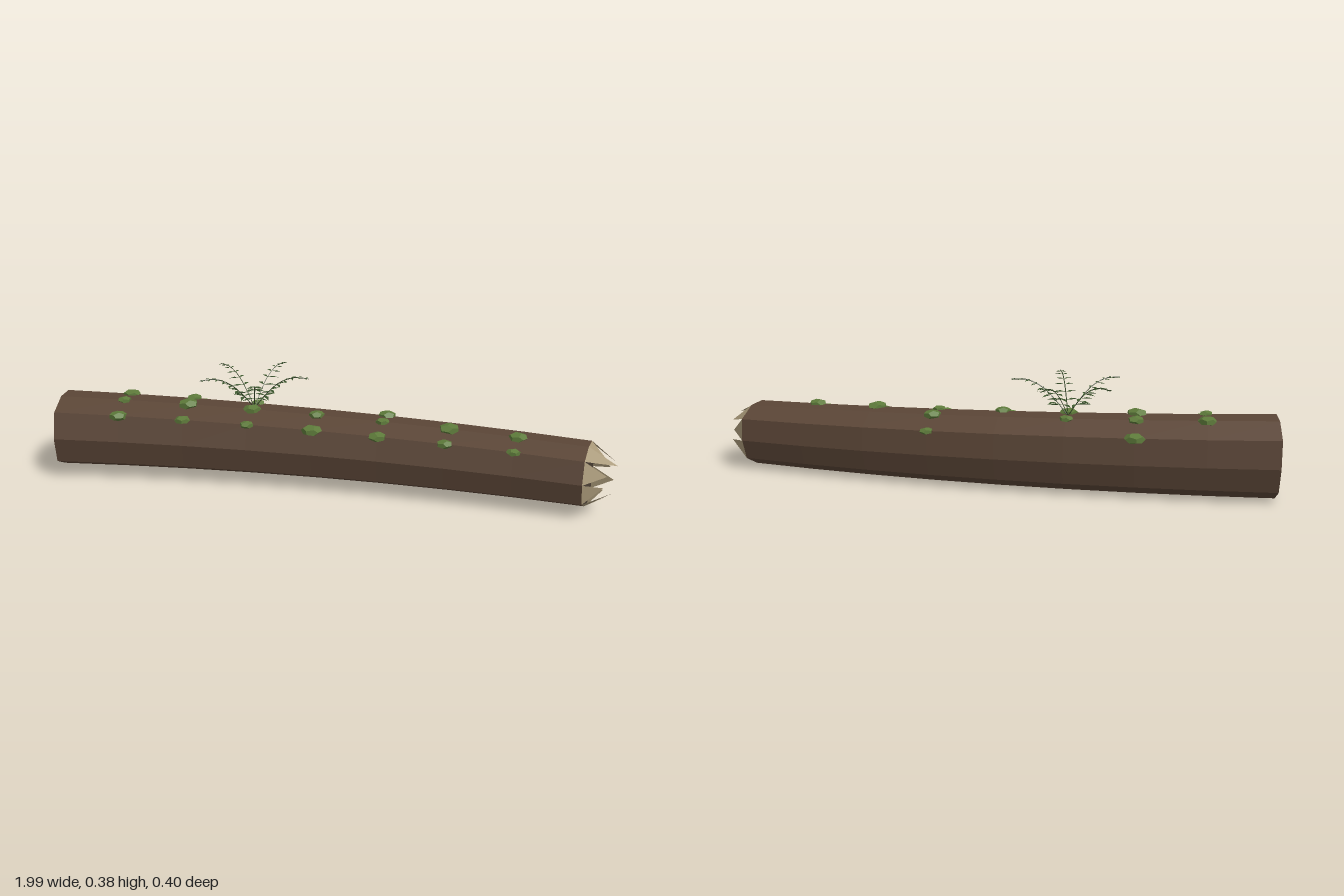
import * as THREE from 'three';

const SIDES = 10, RINGS = 9;
// uneven bark radius, one factor per spoke
const BARK = [1.02, 1.09, 0.96, 0.98, 1.12, 1.0, 1.04, 1.0, 0.86, 1.03];

const material = (color, side = THREE.FrontSide) =>
  new THREE.MeshStandardMaterial({ color, side, flatShading: true, roughness: 1 });

// centre, radius and sideways direction of the bowed, tapering trunk at x
function section(x) {
  const t = (x + 0.985) / 1.88;
  const slope = 0.14 * x;
  return {
    centre: new THREE.Vector3(x, 0.142 - 0.02 * t, -0.015 + 0.07 * x * x),
    radius: 0.146 - 0.026 * t,
    side: new THREE.Vector3(-slope, 0, 1).normalize(),
    along: new THREE.Vector3(1, 0, slope).normalize(),
  };
}

const ringX = (i) => -0.985 + 0.235 * i;

// point on the trunk: spoke may be fractional, scale shrinks toward the centre
function trunkPoint(x, spoke, scale = 1) {
  const s = section(x);
  const a = THREE.MathUtils.degToRad(4 + 36 * spoke);
  const r = s.radius * scale * BARK[Math.floor(spoke) % SIDES];
  return s.centre.clone()
    .addScaledVector(s.side, r * Math.cos(a))
    .add(new THREE.Vector3(0, r * Math.sin(a), 0));
}

// mesh from a list of triangle corners
function facets(name, points, mat) {
  const geometry = new THREE.BufferGeometry().setFromPoints(points);
  geometry.computeVertexNormals();
  const mesh = new THREE.Mesh(geometry, mat);
  mesh.name = name;
  return mesh;
}

function buildLog() {
  const group = new THREE.Group();
  group.name = 'log';
  const bark = [], cap = [], hollow = [], splinters = [];
  const x0 = ringX(0), x1 = ringX(RINGS - 1);
  const end = section(x1);
  const pit = end.centre.clone().addScaledVector(end.along, -0.05);
  const reach = [0.07, 0.1, 0.06, 0.085, 0.065, 0.08, 0.05, 0.07, 0.085, 0.06];

  for (let j = 0; j < SIDES; j++) {
    const k = (j + 1) % SIDES;
    for (let i = 0; i < RINGS - 1; i++) {
      const a = trunkPoint(ringX(i), j), b = trunkPoint(ringX(i + 1), j);
      const c = trunkPoint(ringX(i + 1), k), d = trunkPoint(ringX(i), k);
      bark.push(a, b, c, a, c, d);
    }
    cap.push(section(x0).centre, trunkPoint(x0, j), trunkPoint(x0, k));
    // broken end: recessed core ringed by inward-leaning splinters
    const p = trunkPoint(x1, j), q = trunkPoint(x1, k);
    hollow.push(pit, q, p);
    const tip = trunkPoint(x1, j + 0.55, 0.52).addScaledVector(end.along, reach[j]);
    splinters.push(p, tip, q);
  }
  group.add(
    facets('bark', bark, material(0x5a4536)),
    facets('cutEnd', cap, material(0x40342b)),
    facets('brokenCore', hollow, material(0x453a30, THREE.DoubleSide)),
    facets('splinters', splinters, material(0xa89878, THREE.DoubleSide)),
  );
  return group;
}

function buildMoss() {
  const group = new THREE.Group();
  group.name = 'moss';
  const geometry = new THREE.DodecahedronGeometry(1, 0);
  const mat = material(0x5d7a3a);
  // spokes carrying a clump, for each ring from the second
  const rows = [[1, 2, 3], [1, 2, 3, 4], [1, 2, 3], [1, 2], [1, 2, 3, 4], [1, 2], [1, 2]];
  rows.forEach((spokes, row) => spokes.forEach((spoke) => {
    const clump = new THREE.Mesh(geometry, mat);
    const size = 0.025 + 0.004 * ((row * 3 + spoke * 2) % 4);
    clump.name = 'mossClump';
    clump.position.copy(trunkPoint(ringX(row + 1), spoke));
    clump.scale.set(size, size * 0.5, size);
    clump.rotation.y = row * 1.3 + spoke * 2.1;
    group.add(clump);
  }));
  return group;
}

// one arching frond along +x with paired leaflets
function buildFrond(stemMat, leafMat) {
  const frond = new THREE.Group();
  frond.name = 'frond';
  const curve = new THREE.CatmullRomCurve3([
    [0, 0], [0.04, 0.05], [0.09, 0.098], [0.145, 0.122], [0.2, 0.121],
  ].map(([x, y]) => new THREE.Vector3(x, y, 0)));
  const stem = new THREE.Mesh(new THREE.TubeGeometry(curve, 10, 0.0016, 4), stemMat);
  stem.name = 'stem';
  frond.add(stem);

  const leaves = [];
  const PAIRS = 7;
  for (let n = 0; n < PAIRS; n++) {
    const t = 0.24 + 0.7 * n / (PAIRS - 1);
    const root = curve.getPoint(t);
    const length = 0.052 - 0.036 * n / (PAIRS - 1);
    for (const s of [-1, 1]) {
      const at = (out, forward, lift) =>
        root.clone().add(new THREE.Vector3(forward * length, lift * length, s * out * length));
      const tip = at(0.85, 0.5, -0.04);
      leaves.push(root, at(0.36, 0.38, 0.06), tip, root, tip, at(0.5, 0.12, 0.06));
    }
  }
  frond.add(facets('leaflets', leaves, leafMat));
  return frond;
}

function buildFern() {
  const fern = new THREE.Group();
  fern.name = 'fern';
  fern.position.set(-0.28, 0.256, -0.01);
  const stemMat = material(0x35452a);
  const leafMat = material(0x3f5a30, THREE.DoubleSide);
  for (let i = 0; i < 5; i++) {
    const frond = buildFrond(stemMat, leafMat);
    frond.rotation.y = i * Math.PI * 2 / 5;
    fern.add(frond);
  }
  return fern;
}

export function createModel() {
  const model = new THREE.Group();
  model.name = 'fallenLog';
  model.add(buildLog(), buildMoss(), buildFern());
  return model;
}
